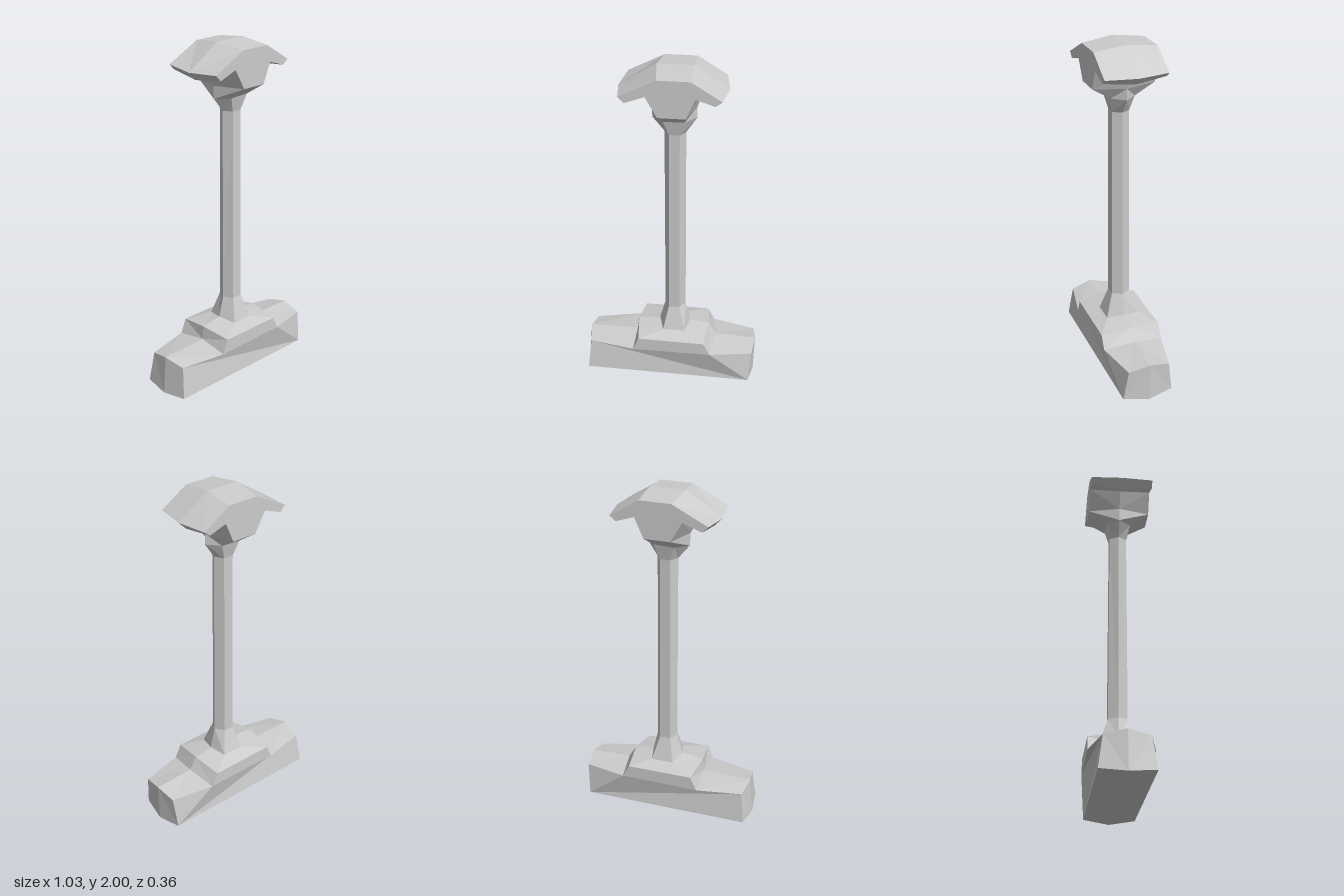
import * as THREE from 'three';

// Each row pairs a left and a right point: [ridgeX, ridgeY, faceX, faceY].
// The ridge lies on z = 0, the face points lie on z = +depth and z = -depth.
const row = (depth, left, right) => ({
  left: [...left, depth],
  right: [...right, depth],
});

const rows = {
  baseBottom: row(0.15, [-0.52, 0.015, -0.5, 0.03], [0.51, 0, 0.485, 0.02]),
  baseTop: row(0.124, [-0.5, 0.24, -0.48, 0.213], [0.515, 0.235, 0.5, 0.208]),
  stepBase: row(0.18, [-0.21, 0.245, -0.215, 0.218], [0.275, 0.245, 0.25, 0.218]),
  stepTop: row(0.18, [-0.2, 0.325, -0.18, 0.3], [0.23, 0.318, 0.21, 0.295]),
  flareFoot: row(0.1, [-0.07, 0.342, -0.04, 0.325], [0.115, 0.337, 0.09, 0.325]),
  poleBottom: row(0.055, [-0.037, 0.465, -0.01, 0.465], [0.085, 0.465, 0.053, 0.465]),
  poleTop: row(0.05, [-0.04, 1.61, -0.01, 1.61], [0.08, 1.61, 0.05, 1.61]),
  collarTop: row(0.07, [-0.105, 1.69, -0.04, 1.695], [0.14, 1.7, 0.08, 1.7]),
  capBottom: row(0.18, [-0.11, 1.765, -0.055, 1.77], [0.14, 1.765, 0.095, 1.77]),
  capNeck: row(0.18, [-0.155, 1.86, -0.12, 1.885], [0.175, 1.865, 0.145, 1.885]),
  wingLower: row(0.18, [-0.24, 1.82, -0.23, 1.845], [0.265, 1.83, 0.25, 1.85]),
  wingTip: row(0.18, [-0.287, 1.868, -0.262, 1.878], [0.312, 1.876, 0.285, 1.878]),
  crown: row(0.18, [-0.08, 2, -0.06, 1.98], [0.12, 2, 0.12, 1.98]),
};

const material = new THREE.MeshStandardMaterial({
  color: 0xcccccc, flatShading: true, side: THREE.DoubleSide,
});

// Bevelled slab through the given rows, mirrored front to back
function slab(name, rowNames, closeBottom = false, closeTop = false) {
  const chain = rowNames.map((n) => rows[n]);
  const n = chain.length;
  const outline = [
    ...chain.map((r) => r.right),
    ...chain.map((r) => r.left).reverse(),
  ];
  const ridge = outline.map(([x, y]) => [x, y, 0]);
  const face = outline.map(([, , x, y, z]) => [x, y, z]);
  const positions = [];
  const triangle = (a, b, c) => {
    positions.push(...a, ...b, ...c);
    for (const [x, y, z] of [a, c, b]) positions.push(x, y, -z);
  };

  // Front and back faces
  const flat = face.map(([x, y]) => new THREE.Vector2(x, y));
  for (const [a, b, c] of THREE.ShapeUtils.triangulateShape(flat, [])) {
    triangle(face[a], face[b], face[c]);
  }

  // Bevelled sides between the faces and the centre ridge
  for (let i = 0; i < 2 * n; i++) {
    if (i === n - 1 && !closeTop) continue;
    if (i === 2 * n - 1 && !closeBottom) continue;
    const j = (i + 1) % (2 * n);
    triangle(face[i], ridge[i], ridge[j]);
    triangle(face[i], ridge[j], face[j]);
  }

  const geometry = new THREE.BufferGeometry();
  geometry.setAttribute('position', new THREE.Float32BufferAttribute(positions, 3));
  geometry.computeVertexNormals();
  const mesh = new THREE.Mesh(geometry, material);
  mesh.name = name;
  return mesh;
}

export function createModel() {
  const model = new THREE.Group();
  model.name = 'pillar';
  model.add(
    slab('base', ['baseBottom', 'baseTop', 'stepBase'], true),
    slab('stepRiser', ['stepBase', 'stepTop']),
    slab('stepTread', ['stepTop', 'flareFoot']),
    slab('poleFlare', ['flareFoot', 'poleBottom']),
    slab('pole', ['poleBottom', 'poleTop']),
    slab('collar', ['poleTop', 'collarTop']),
    slab('capUnderside', ['collarTop', 'capBottom']),
    slab('cap', ['capBottom', 'capNeck', 'wingLower', 'wingTip', 'crown'], false, true),
  );
  return model;
}
